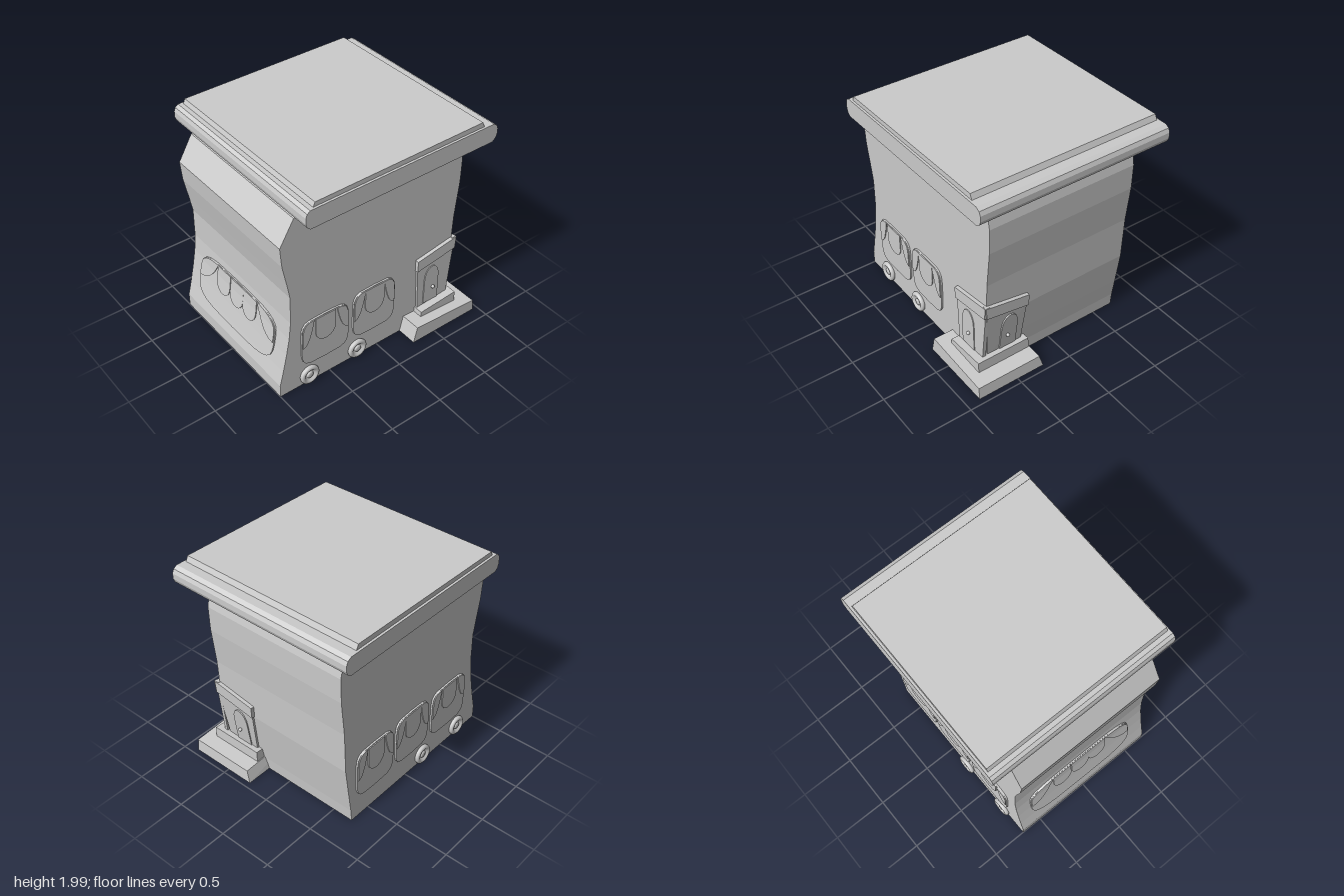
import * as THREE from 'three';

const flat = new THREE.MeshStandardMaterial({ color: 0xcccccc, flatShading: true });
const smooth = new THREE.MeshStandardMaterial({ color: 0xcccccc });
const HALF = 0.695; // half width of the body

// wall profiles as [z, y]
const front = [[1, 0], [1, 0.12], [0.965, 0.26], [0.93, 0.42], [0.9, 0.58], [0.883, 0.74], [0.88, 1],
  [0.905, 1.14], [0.945, 1.34], [0.96, 1.52], [0.83, 1.74]];
const back = [[-0.71, 0], [-0.72, 0.12], [-0.745, 0.3], [-0.785, 0.6], [-0.8, 1], [-0.835, 1.34], [-0.84, 1.57], [-0.8, 1.77]];

// z of a wall at height y
function wallZ(profile, y) {
  for (let i = 1; i < profile.length; i++) {
    const [z0, y0] = profile[i - 1], [z1, y1] = profile[i];
    if (y <= y1) return z0 + (z1 - z0) * (y - y0) / (y1 - y0);
  }
  return profile[profile.length - 1][0];
}

function add(parent, name, geometry, material = flat) {
  const mesh = new THREE.Mesh(geometry, material);
  mesh.name = name;
  parent.add(mesh);
  return mesh;
}

function bend(geometry, rule) {
  const p = geometry.attributes.position, v = new THREE.Vector3();
  for (let i = 0; i < p.count; i++) {
    rule(v.fromBufferAttribute(p, i));
    p.setXYZ(i, v.x, v.y, v.z);
  }
  geometry.computeVertexNormals();
  return geometry;
}

const outlineOf = pts => new THREE.Shape(pts.map(([x, y]) => new THREE.Vector2(x, y)));
const extrude = (shape, depth) =>
  new THREE.ExtrudeGeometry(shape, { depth, bevelEnabled: false, curveSegments: 10 });

// [z, y] outline swept across the full width
function acrossWidth(pts, halfWidth) {
  return extrude(outlineOf(pts), 2 * halfWidth).translate(0, 0, -halfWidth).rotateY(-Math.PI / 2);
}

// thin relief on a wall, bounded by left(y, t) and right(y, t)
function relief(left, right, y0, y1, height, surface) {
  return bend(new THREE.BoxGeometry(1, 1, 1, 12, 14, 1), v => {
    const t = 0.5 + 0.5 * Math.sin(Math.PI * v.y), y = y0 + (y1 - y0) * t;
    const l = left(y, t), r = right(y, t);
    v.set(l + (r - l) * (v.x + 0.5), y, surface(y) + (v.z > 0 ? height : -0.008));
  });
}

// rounded window with a hanging quarter pane at each end and round-bottomed panes between
function windowUnit(name, { cx, w, y0, y1, sill, corner, panes, p, h, surface }) {
  const g = new THREE.Group();
  g.name = name;
  const half = y => {
    const k = Math.min(1, Math.abs(2 * (y - y0) / (y1 - y0) - 1));
    return w * Math.pow(1 - Math.pow(k, p), 1 / p);
  };
  add(g, 'windowPanel', relief(y => cx - half(y), y => cx + half(y), y0, y1, h, surface));
  const top = y1 - 0.008, inner = y => Math.max(0, half(y) - 0.008);
  const curve = t => w - corner * Math.pow(t, 0.4);
  const u = t => Math.sqrt(1 - Math.pow(1 - Math.min(1, t / 0.4), 2));
  const hp = h + 0.008;
  add(g, 'leftPane', relief((y, t) => cx + Math.min(curve(1 - (1 - t)) , inner(y)), y => cx + inner(y), sill, top, hp, surface));
  add(g, 'rightPane', relief(y => cx - inner(y), (y, t) => cx - Math.min(curve(t), inner(y)), sill, top, hp, surface));
  for (const [px, pw] of panes)
    add(g, 'middlePane', relief((y, t) => px - pw * u(t), (y, t) => px + pw * u(t), sill, top, hp, surface));
  return g;
}

// door surround with lintel, arched door and knob; s runs away from the building corner
function doorway(name, dir, surface) {
  const g = new THREE.Group();
  g.name = name;
  const plate = (label, pts, depth) => add(g, label, bend(
    extrude(outlineOf(pts.map(([s, y]) => [dir * s, y])), depth + 0.012),
    v => { v.z += surface(v.y) - 0.012; }));
  plate('doorSurround', [[0.065, 0.17], [0.39, 0.17], [0.41, 0.63], [0.015, 0.69]], 0.02);
  plate('lintel', [[0.01, 0.675], [0.42, 0.61], [0.42, 0.72], [0, 0.79]], 0.033);
  const arch = new THREE.Shape();
  const c = dir * 0.25;
  arch.moveTo(c - 0.08, 0.21);
  arch.lineTo(c + 0.08, 0.21);
  arch.lineTo(c + 0.078, 0.46);
  arch.bezierCurveTo(c + 0.075, 0.635, c - 0.075, 0.635, c - 0.078, 0.46);
  add(g, 'archedDoor', bend(extrude(arch, 0.04), v => { v.z += surface(v.y) - 0.012; }));
  const knob = add(g, 'doorKnob', new THREE.SphereGeometry(0.016, 14, 10), smooth);
  knob.position.set(dir * 0.235, 0.36, surface(0.36) + 0.038);
  return g;
}

// block with a top sloping along z and slightly inset ends
function step(x0, x1, z0, z1, y0, topFront, topBack, inset) {
  return bend(new THREE.BoxGeometry(1, 1, 1), v => {
    const isTop = v.y > 0, isFront = v.z > 0;
    v.x = v.x > 0 ? x1 : x0 + (isTop ? inset : 0);
    v.z = isFront ? z0 - (isTop ? inset : 0) : z1 + (isTop ? inset * 0.3 : 0);
    v.y = isTop ? (isFront ? topFront : topBack) : y0;
  });
}

export function createModel() {
  const model = new THREE.Group();
  model.name = 'building';

  // body and roof
  add(model, 'body', acrossWidth([...front, ...[...back].reverse()], HALF));
  add(model, 'roofSlab', acrossWidth([[0.82, 1.755], [0.848, 1.78], [0.86, 1.815], [0.86, 1.865], [0.848, 1.9],
    [0.82, 1.92], [-0.95, 1.94], [-0.985, 1.92], [-1, 1.885], [-1, 1.835], [-0.985, 1.8], [-0.955, 1.775]], 0.885));
  add(model, 'roofCap', acrossWidth([[0.79, 1.9], [0.765, 1.96], [-0.85, 1.985], [-0.88, 1.92]], 0.865));

  // curved front window
  model.add(windowUnit('frontWindow', { cx: -0.012, w: 0.545, y0: 0.225, y1: 0.68, sill: 0.44, corner: 0.26,
    panes: [[-0.205, 0.095], [-0.01, 0.092], [0.175, 0.092]], p: 4, h: 0.012, surface: y => wallZ(front, y) }));

  // side windows and wheels
  const wheelProfile = [[0.08, -0.01], [0.088, 0], [0.092, 0.012], [0.088, 0.026], [0.075, 0.035], [0.06, 0.032],
    [0.042, 0.014], [0.032, 0.012], [0.03, 0.024], [0.02, 0.028], [0, 0.029]].map(([r, y]) => new THREE.Vector2(r, y));
  for (const side of [1, -1]) {
    const wall = new THREE.Group();
    wall.name = side > 0 ? 'leftSide' : 'rightSide';
    wall.rotation.y = side * Math.PI / 2;
    const units = [[0.555, 0.235, 0.215, 0.68], [0.052, 0.218, 0.225, 0.7]];
    if (side < 0) units.push([-0.43, 0.23, 0.22, 0.69]);
    for (const [z, w, y0, y1] of units) {
      const cx = -side * z;
      wall.add(windowUnit('sideWindow', { cx, w, y0, y1, sill: 0.42, corner: 0.12,
        panes: [[cx, 0.1]], p: 5, h: 0.016, surface: () => HALF }));
    }
    model.add(wall);
    for (const z of [0.715, 0.22]) {
      const wheel = add(model, 'wheel', new THREE.LatheGeometry(wheelProfile, 28).rotateZ(-side * Math.PI / 2), smooth);
      wheel.position.set(side * HALF, 0.09, z);
    }
  }

  // corner entrance: one doorway on the side wall, one on the back wall
  const sideDoor = doorway('sideDoorway', -1, () => HALF);
  sideDoor.rotation.y = Math.PI / 2;
  sideDoor.position.z = -0.82;
  const backDoor = doorway('backDoorway', 1, y => -wallZ(back, y));
  backDoor.rotation.y = Math.PI;
  backDoor.position.x = 0.72;
  model.add(sideDoor, backDoor);

  // steps wrapping the corner
  add(model, 'lowerStep', step(0.24, 0.88, -0.26, -0.95, 0, 0.15, 0.112, 0.035));
  add(model, 'upperStep', step(0.28, 0.785, -0.41, -0.805, 0.08, 0.19, 0.22, 0.008));
  return model;
}
